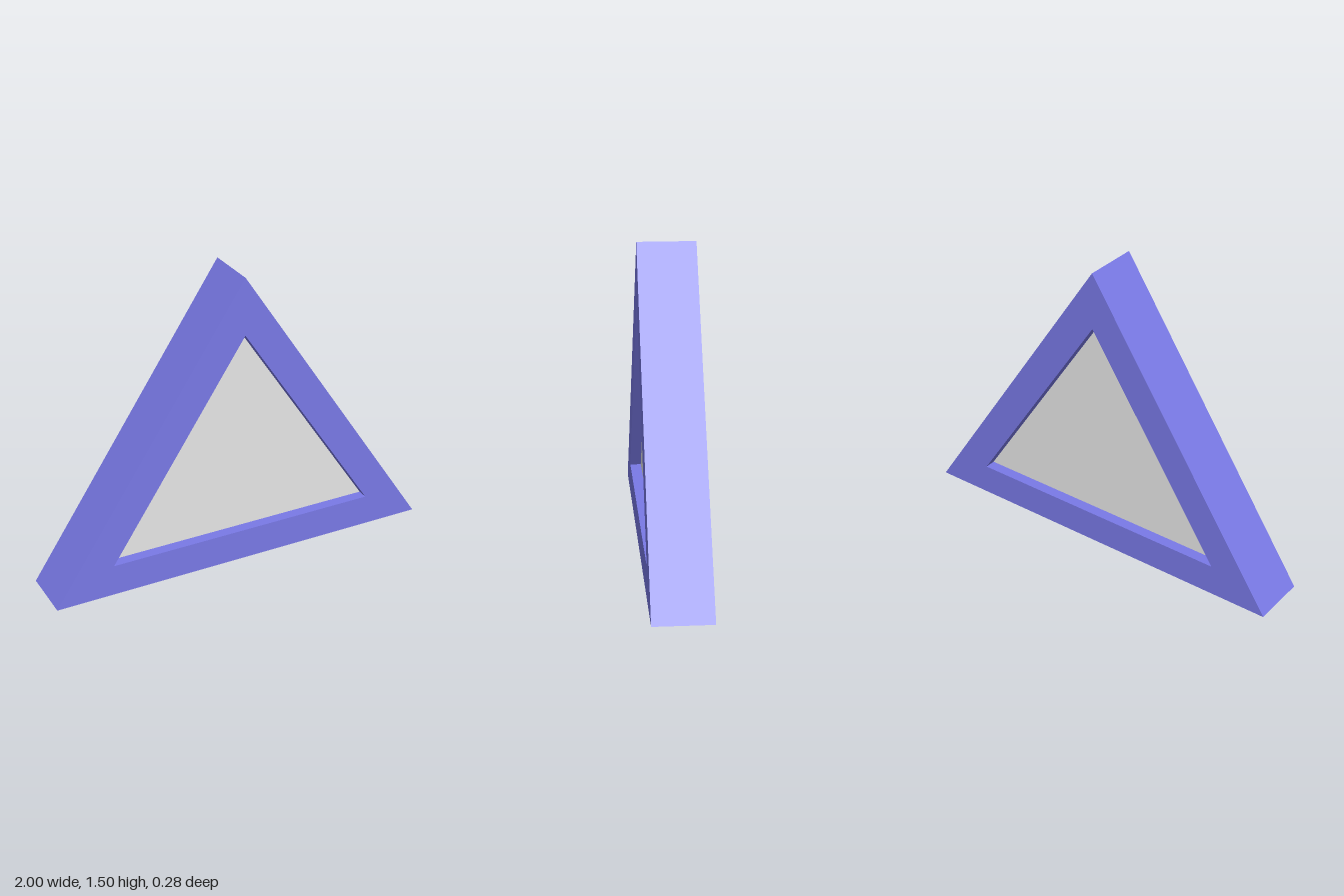
import * as THREE from 'three';

const DEPTH = 0.284; // overall frame thickness
const RECESS = 0.056; // how far the panel sits behind each face

// Isosceles triangle outline, counter-clockwise
const triangle = (half, bottom, top) => [
  new THREE.Vector2(-half, bottom),
  new THREE.Vector2(half, bottom),
  new THREE.Vector2(0, top),
];

// Extrusion centred on z = 0
function slab(shape, depth) {
  const geometry = new THREE.ExtrudeGeometry(shape, { depth, bevelEnabled: false });
  return geometry.translate(0, 0, -depth / 2);
}

export function createModel() {
  const group = new THREE.Group();
  const blue = new THREE.MeshStandardMaterial({ name: 'frame blue', color: 0x7d7dee });
  const grey = new THREE.MeshStandardMaterial({ name: 'panel light grey', color: 0xeeeeee });

  const outer = triangle(1, 0, 1.505);
  const inner = triangle(0.702, 0.16, 1.217);

  // Triangular frame with a triangular opening
  const frameShape = new THREE.Shape(outer);
  frameShape.holes.push(new THREE.Path(inner));
  const frame = new THREE.Mesh(slab(frameShape, DEPTH), blue);
  frame.name = 'frame';

  // Panel filling the opening, recessed on both sides
  const panel = new THREE.Mesh(slab(new THREE.Shape(inner), DEPTH - 2 * RECESS), grey);
  panel.name = 'panel';

  group.add(frame, panel);
  return group;
}
